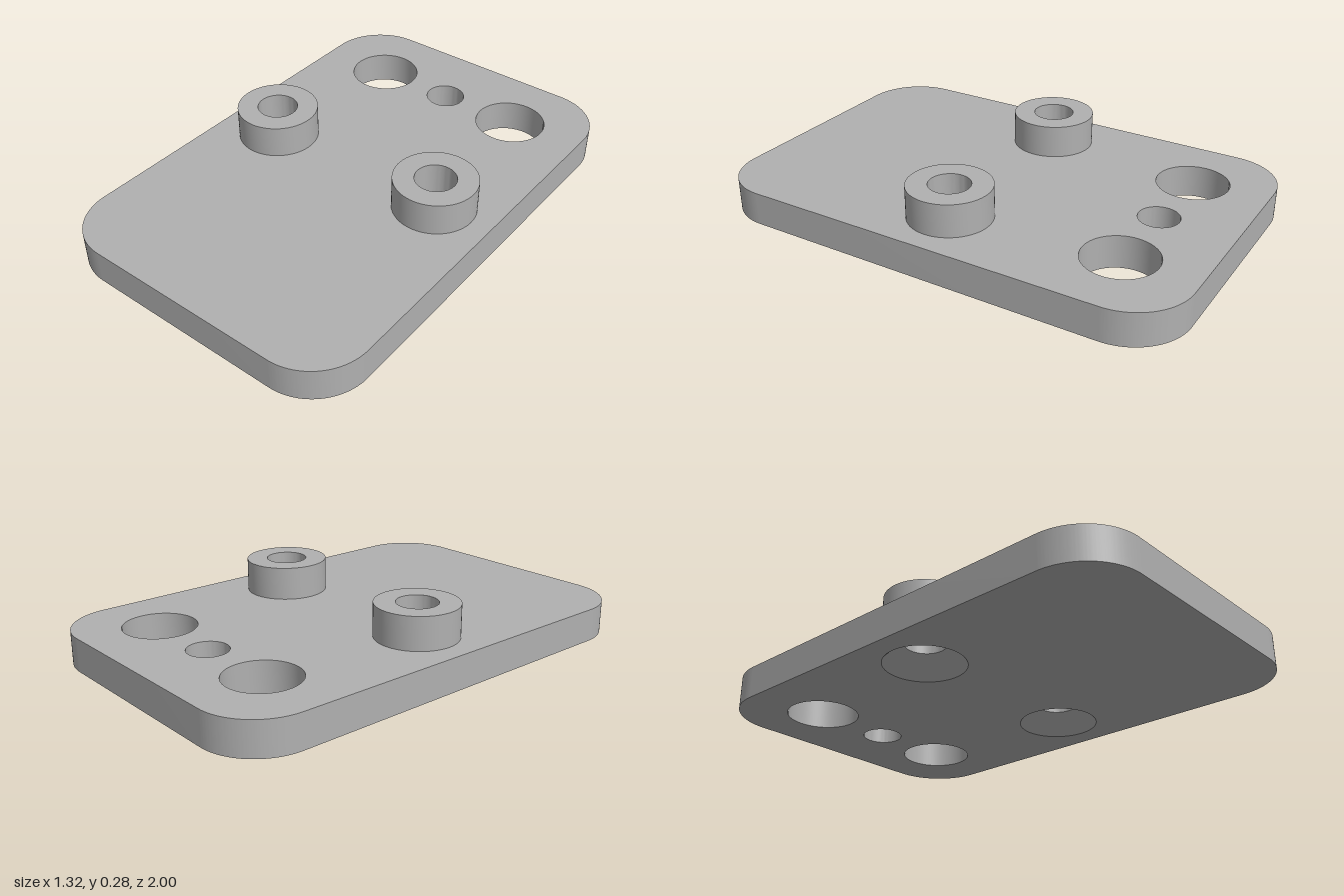
import * as THREE from 'three';
import { toCreasedNormals } from 'three/addons/utils/BufferGeometryUtils.js';

const HALF_W = 0.66, HALF_L = 1, CORNER = 0.24, THICK = 0.138;
const BOSS_X = 0.405, BOSS_R = 0.17, BOSS_TOP = 0.275;
const BORE_R = 0.084, SINK_R = 0.165, SINK_DEPTH = 0.085;

function roundedRect(w, l, r) {
  const s = new THREE.Shape();
  s.absarc(w - r, l - r, r, 0, Math.PI / 2);
  s.absarc(r - w, l - r, r, Math.PI / 2, Math.PI);
  s.absarc(r - w, r - l, r, Math.PI, Math.PI * 1.5);
  s.absarc(w - r, r - l, r, Math.PI * 1.5, Math.PI * 2);
  s.closePath();
  return s;
}

function circle(x, y, r) {
  return new THREE.Path().absarc(x, y, r, 0, Math.PI * 2, true);
}

export function createModel() {
  const group = new THREE.Group();
  const grey = new THREE.MeshStandardMaterial({ color: 0xb0b0b0 });
  grey.name = 'grey';

  // Plate with rounded corners; three holes at the back, two under the bosses
  const outline = roundedRect(HALF_W, HALF_L, CORNER);
  outline.holes.push(circle(0, 0.685, 0.083));
  for (const side of [-1, 1]) {
    outline.holes.push(circle(side * 0.34, 0.685, 0.149));
    outline.holes.push(circle(side * BOSS_X, 0, SINK_R));
  }
  const plateGeometry = new THREE.ExtrudeGeometry(outline, {
    depth: THICK, bevelEnabled: false, curveSegments: 32,
  });
  plateGeometry.rotateX(-Math.PI / 2);
  const plate = new THREE.Mesh(toCreasedNormals(plateGeometry, 0.5), grey);
  plate.name = 'plate';
  group.add(plate);

  // Bosses: outer wall, top ring, through bore and countersink in the underside
  const profile = [
    [BOSS_R, THICK - 0.01], [BOSS_R, BOSS_TOP], [BORE_R, BOSS_TOP],
    [BORE_R, SINK_DEPTH], [SINK_R, 0],
  ].map(([r, y]) => new THREE.Vector2(r, y));
  const bossGeometry = toCreasedNormals(new THREE.LatheGeometry(profile, 64), 0.5);
  for (const side of [-1, 1]) {
    const boss = new THREE.Mesh(bossGeometry, grey);
    boss.name = side > 0 ? 'leftBoss' : 'rightBoss';
    boss.position.x = side * BOSS_X;
    group.add(boss);
  }
  return group;
}
